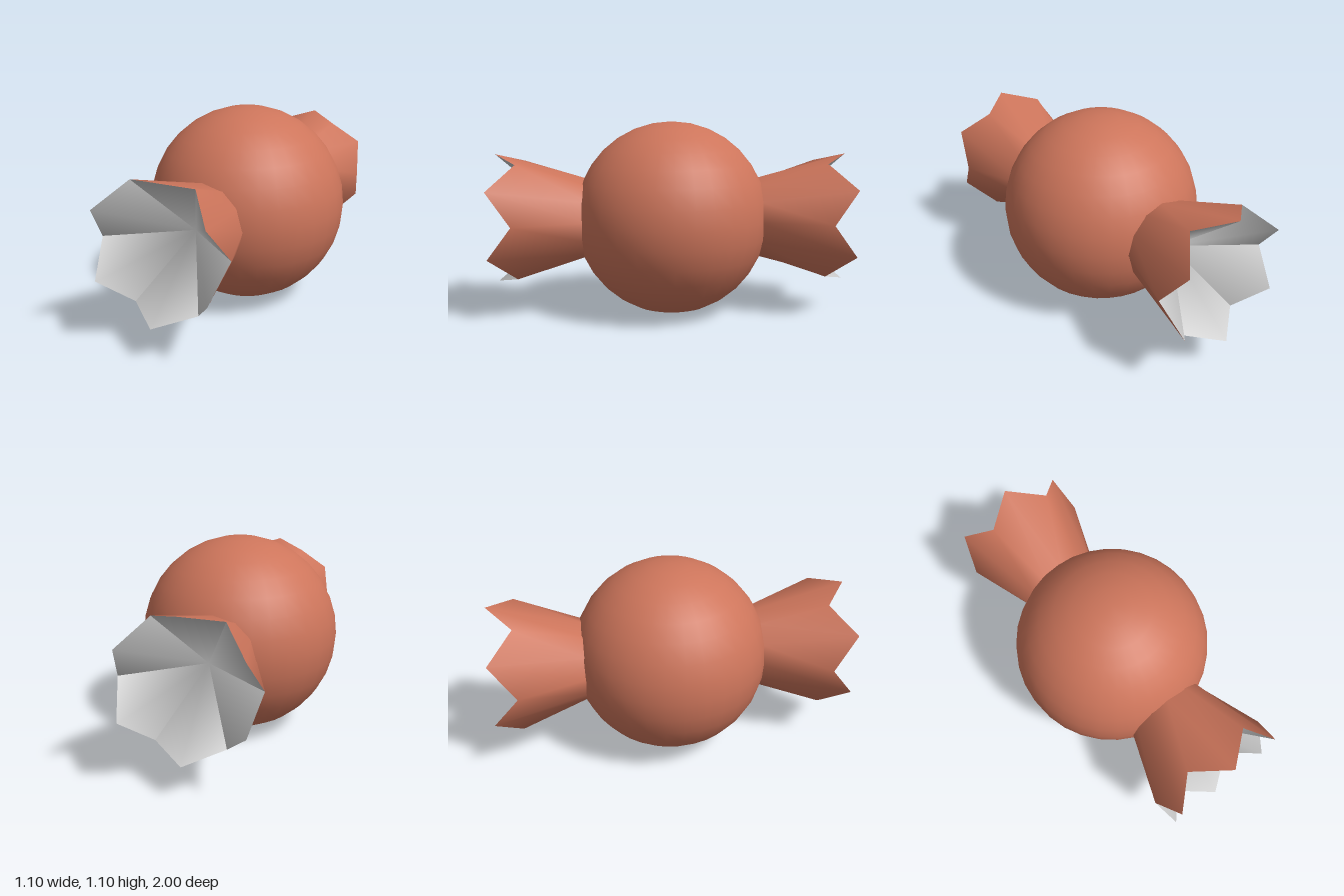
import * as THREE from 'three';
import { toCreasedNormals } from 'three/addons/utils/BufferGeometryUtils.js';

const SIDES = 12, RIM = 0.366, TIP_Z = 1, NOTCH_Z = 0.86;
const CENTRE_Y = 0.554, APEX_Z = 0.57;

// Zigzag rim: tips alternate with notches, a tip pointing straight up
function rimPoint(i) {
  const a = Math.PI / 2 + (i * 2 * Math.PI) / SIDES;
  return [RIM * Math.cos(a), RIM * Math.sin(a), i % 2 ? NOTCH_Z : TIP_Z];
}

// Ring where the twist emerges from the ball
function basePoint(i) {
  const a = Math.PI / 2 + (i * 2 * Math.PI) / SIDES;
  return [0.222 * Math.cos(a), 0.222 * Math.sin(a), 0.47];
}

function meshGeometry(points, index) {
  const g = new THREE.BufferGeometry();
  g.setAttribute('position', new THREE.Float32BufferAttribute(points.flat(), 3));
  g.setIndex(index);
  g.computeVertexNormals();
  return g;
}

// Flared outer wall of a wrapper end
function flareGeometry() {
  const points = [], index = [];
  for (let i = 0; i < SIDES; i++) {
    points.push(basePoint(i), rimPoint(i));
    const a = 2 * i, b = 2 * ((i + 1) % SIDES);
    index.push(a, b, b + 1, a, b + 1, a + 1);
  }
  return meshGeometry(points, index);
}

// Folded funnel inside a wrapper end, creased at the notches and soft at its centre
function funnelGeometry() {
  const points = [[0, 0, APEX_Z]], index = [];
  for (let i = 0; i < SIDES; i++) {
    points.push(rimPoint(i));
    index.push(0, 1 + i, 1 + ((i + 1) % SIDES));
  }
  const g = toCreasedNormals(meshGeometry(points, index), THREE.MathUtils.degToRad(50));
  const normal = g.attributes.normal;
  for (let i = 0; i < normal.count; i += 3) normal.setXYZ(i, 0, 0, 1);
  return g;
}

export function createModel() {
  const model = new THREE.Group();
  model.name = 'wrappedCandy';
  const wrapper = new THREE.MeshStandardMaterial({ color: 0xcd755b });
  const lining = new THREE.MeshStandardMaterial({ color: 0xcccccc });

  function add(parent, name, geometry, material) {
    const mesh = new THREE.Mesh(geometry, material);
    mesh.name = name;
    parent.add(mesh);
    return mesh;
  }

  // Round sweet
  add(model, 'ball', new THREE.SphereGeometry(0.55, 32, 16), wrapper).position.y = CENTRE_Y;

  // Two matching twisted ends
  const flare = flareGeometry(), funnel = funnelGeometry();
  for (const [name, turn] of [['frontTwist', 0], ['backTwist', Math.PI]]) {
    const twist = new THREE.Group();
    twist.name = name;
    add(twist, 'flare', flare, wrapper);
    add(twist, 'lining', funnel, lining);
    twist.position.y = CENTRE_Y;
    twist.rotation.y = turn;
    model.add(twist);
  }
  return model;
}
